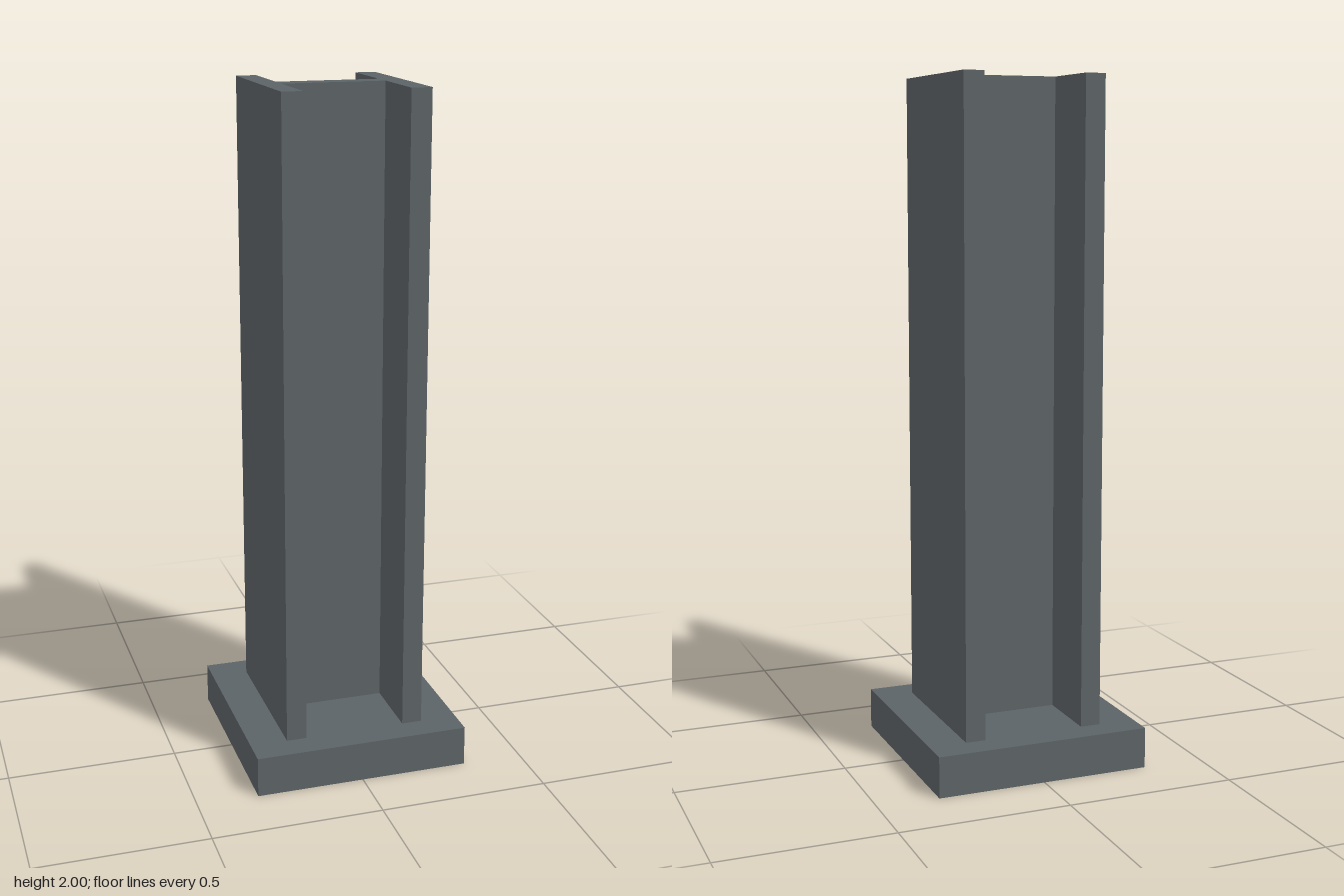
import * as THREE from 'three';

export function createModel() {
  const model = new THREE.Group();
  model.name = 'steelColumn';
  const steel = new THREE.MeshStandardMaterial({ color: 0x5c6366 });
  steel.name = 'steel grey';

  const plateHeight = 0.12, height = 2;

  // Square base plate
  const basePlate = new THREE.Mesh(new THREE.BoxGeometry(0.64, plateHeight, 0.64), steel);
  basePlate.name = 'basePlate';
  basePlate.position.y = plateHeight / 2;
  model.add(basePlate);

  // H-section column: half outline, then the same points turned by 180 degrees
  const outer = 0.21, inner = 0.15, depth = 0.24, web = 0.03;
  const half = [
    [inner, -web], [inner, -depth], [outer, -depth],
    [outer, depth], [inner, depth], [inner, web],
  ];
  const outline = [...half, ...half.map(([x, y]) => [-x, -y])];
  const section = new THREE.Shape(outline.map(([x, y]) => new THREE.Vector2(x, y)));
  const geometry = new THREE.ExtrudeGeometry(section, {
    depth: height - plateHeight, bevelEnabled: false,
  });
  geometry.rotateX(-Math.PI / 2);
  const column = new THREE.Mesh(geometry, steel);
  column.name = 'hBeamColumn';
  column.position.y = plateHeight;
  model.add(column);

  return model;
}
